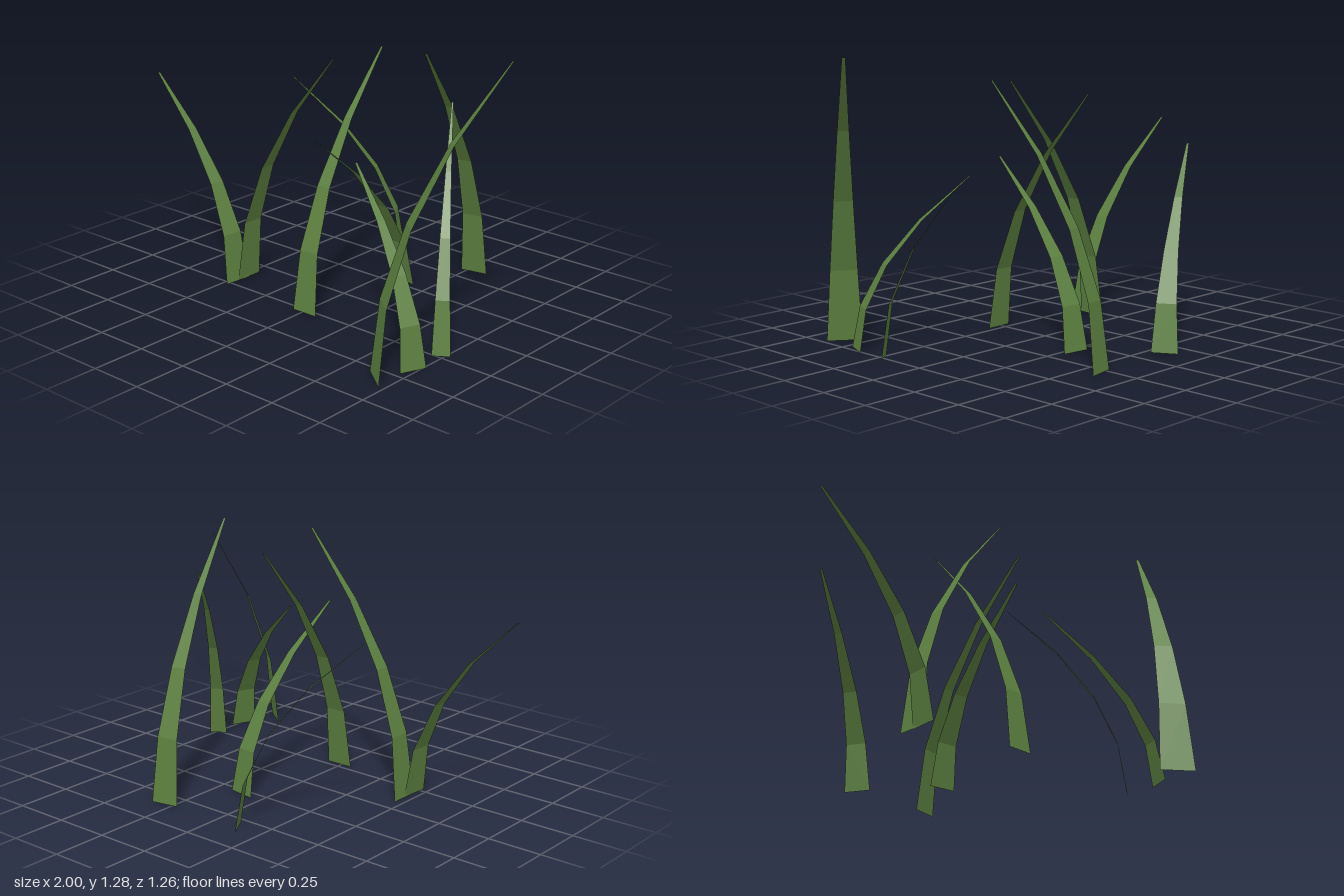
import * as THREE from 'three';

// Each blade: base x, base z, tip x, tip z, height, base width
const BLADES = [
  [-0.13, -0.58, -0.595, -0.32, 0.84, 0.118],
  [0.288, -0.592, 0.392, -0.07, 1.17, 0.128],
  [0.112, -0.29, 0.042, 0.24, 0.79, 0.128],
  [0.738, 0.238, 0.438, -0.2, 0.94, 0.08],
  [0.737, 0.42, 0.25, 0.21, 0.73, 0.12],
  [0.667, 0.582, 0.992, 0.155, 1.285, 0.157],
  [0.012, 0.28, 0, -0.255, 1.1, 0.128],
  [-0.467, 0.208, -1, 0.165, 0.89, 0.132],
  [-0.465, 0.138, 0.068, 0.144, 1.135, 0.136],
];

// A flat four-segment ribbon that tapers evenly and bends over as a parabola
function bladeGeometry(x0, z0, x1, z1, height, width) {
  const geometry = new THREE.PlaneGeometry(1, 1, 1, 4);
  const dx = x1 - x0, dz = z1 - z0;
  const lean = Math.hypot(dx, dz);
  const position = geometry.attributes.position;
  for (let i = 0; i < position.count; i++) {
    const t = position.getY(i) + 0.5;
    const side = position.getX(i) * width * (1 - 0.91 * t);
    position.setXYZ(
      i,
      x0 + dx * t * t - (dz / lean) * side,
      height * t,
      z0 + dz * t * t + (dx / lean) * side
    );
  }
  geometry.computeVertexNormals();
  return geometry;
}

export function createModel() {
  const group = new THREE.Group();
  group.name = 'grassTuft';
  const green = new THREE.MeshStandardMaterial({
    color: 0x5c8040, flatShading: true, side: THREE.DoubleSide,
  });
  green.name = 'grass green';

  BLADES.forEach((blade, i) => {
    const mesh = new THREE.Mesh(bladeGeometry(...blade), green);
    mesh.name = `grassBlade${i + 1}`;
    group.add(mesh);
  });
  return group;
}
